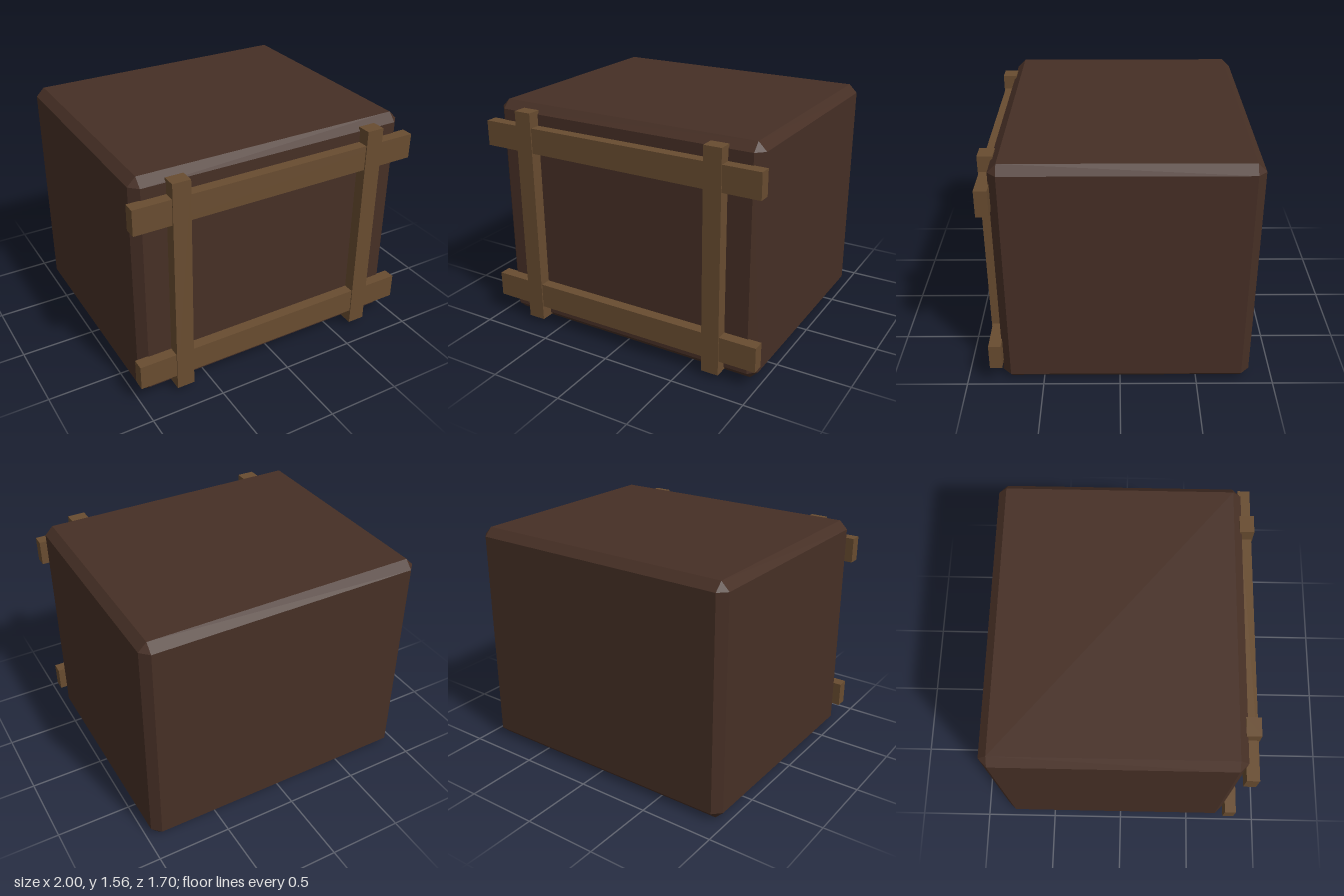
import * as THREE from 'three';
import { ConvexGeometry } from 'three/addons/geometries/ConvexGeometry.js';

// Box with chamfered edges and triangular corners
function chamferedBox(w, h, d, c) {
  const points = [];
  for (const sx of [-1, 1]) for (const sy of [-1, 1]) for (const sz of [-1, 1]) {
    const x = w / 2, y = h / 2, z = d / 2;
    points.push(
      new THREE.Vector3(sx * x, sy * (y - c), sz * (z - c)),
      new THREE.Vector3(sx * (x - c), sy * y, sz * (z - c)),
      new THREE.Vector3(sx * (x - c), sy * (y - c), sz * z)
    );
  }
  return new ConvexGeometry(points);
}

export function createModel() {
  const group = new THREE.Group();
  const darkWood = new THREE.MeshStandardMaterial({ color: 0x462f25 });
  darkWood.name = 'darkWood';
  const lightWood = new THREE.MeshStandardMaterial({ color: 0x684c30 });
  lightWood.name = 'lightWood';

  const add = (name, geometry, material, x, y, z) => {
    const mesh = new THREE.Mesh(geometry, material);
    mesh.name = name;
    mesh.position.set(x, y, z);
    group.add(mesh);
  };

  // Crate body
  add('crateBody', chamferedBox(1.93, 1.56, 1.62, 0.055), darkWood, 0, 0.78, -0.04);

  // Horizontal rails across the front
  const rail = new THREE.BoxGeometry(2, 0.17, 0.08);
  add('lowerRail', rail, lightWood, 0, 0.22, 0.803);
  add('upperRail', rail, lightWood, 0, 1.345, 0.803);

  // Upright battens over the rails
  const batten = new THREE.BoxGeometry(0.12, 1.495, 0.094);
  add('leftBatten', batten, lightWood, 0.69, 0.783, 0.803);
  add('rightBatten', batten, lightWood, -0.69, 0.783, 0.803);

  return group;
}
